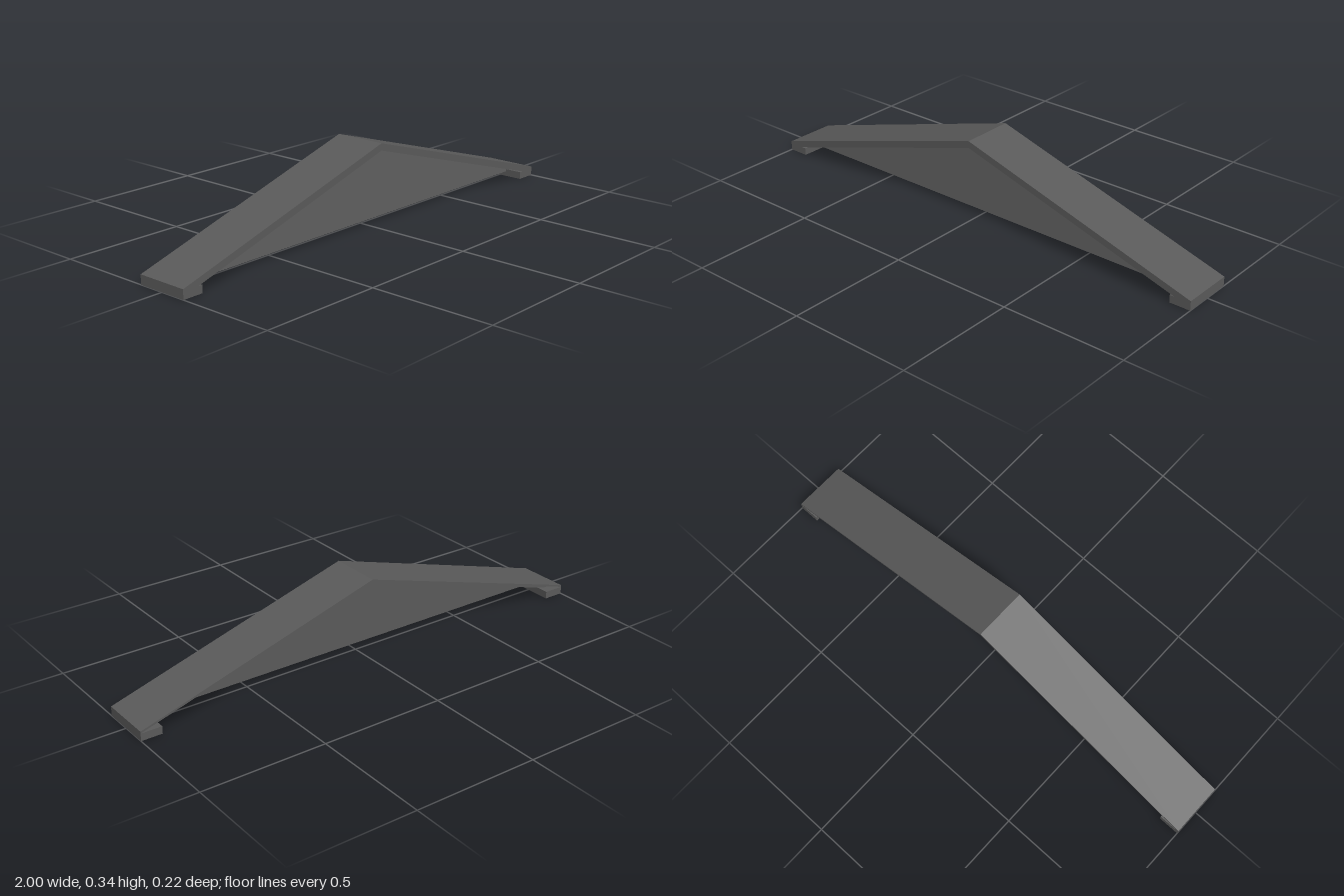
import * as THREE from 'three';

const SLOPE = 0.3;          // roof rise per unit of x
const DEPTH = 0.108;        // half depth of the roof
const RIDGE = 0.338;        // outer ridge height
const SOFFIT = 0.31;        // inner ridge height

// Inverted V band between two ridge heights, extruded from z0 to z1
function gableBand(topRidge, bottomRidge, z0, z1, material, name) {
  const s = new THREE.Shape();
  s.moveTo(-1, topRidge - SLOPE);
  s.lineTo(-1, bottomRidge - SLOPE);
  s.lineTo(0, bottomRidge);
  s.lineTo(1, bottomRidge - SLOPE);
  s.lineTo(1, topRidge - SLOPE);
  s.lineTo(0, topRidge);
  const g = new THREE.ExtrudeGeometry(s, { depth: z1 - z0, bevelEnabled: false });
  g.translate(0, 0, z0);
  const mesh = new THREE.Mesh(g, material);
  mesh.name = name;
  return mesh;
}

// Wedge-shaped siding board cut to the roof slope, thicker at its lower edge
function sidingBoard(y0, y1, back, frontLow, frontHigh) {
  const g = new THREE.BoxGeometry(2, 1, 1);
  const p = g.attributes.position;
  for (let i = 0; i < p.count; i++) {
    const top = p.getY(i) > 0;
    const y = top ? y1 : y0;
    const half = Math.max(0.001, (SOFFIT - y) / SLOPE);
    const z = p.getZ(i) > 0 ? (top ? frontHigh : frontLow) : back;
    p.setXYZ(i, Math.sign(p.getX(i)) * half, y, z);
  }
  g.computeVertexNormals();
  return g;
}

export function createModel() {
  const group = new THREE.Group();
  group.name = 'gable';
  const grey = new THREE.MeshStandardMaterial({ color: 0x5a5a5a });
  grey.name = 'dark grey';

  // Thin roof covering, and the rafter below it, set in at the back
  group.add(gableBand(RIDGE, RIDGE - 0.008, -DEPTH, DEPTH, grey, 'roofCovering'));
  group.add(gableBand(RIDGE - 0.008, SOFFIT, -0.07, DEPTH, grey, 'rafter'));

  // Eave blocks at both ends
  for (const side of [-1, 1]) {
    const foot = new THREE.Mesh(new THREE.BoxGeometry(0.085, 0.03, DEPTH * 2), grey);
    foot.position.set(side * 0.9575, 0.015, 0);
    foot.name = side > 0 ? 'leftEaveBlock' : 'rightEaveBlock';
    group.add(foot);
  }

  // Flat wall panel behind the siding
  const base = 0.021;
  const half = (SOFFIT - base) / SLOPE;
  const tri = new THREE.Shape();
  tri.moveTo(-half, base);
  tri.lineTo(half, base);
  tri.lineTo(0, SOFFIT);
  const panel = new THREE.ExtrudeGeometry(tri, { depth: 0.014, bevelEnabled: false });
  panel.translate(0, 0, 0.01);
  const wall = new THREE.Mesh(panel, grey);
  wall.name = 'gableWall';
  group.add(wall);

  // Overlapping rows of siding
  const siding = new THREE.Group();
  siding.name = 'siding';
  const rows = 8;
  const step = (SOFFIT - base) / rows;
  for (let i = 0; i < rows; i++) {
    const y = base + i * step;
    const board = new THREE.Mesh(sidingBoard(y, y + step, 0.024, 0.036, 0.03), grey);
    board.name = 'sidingBoard';
    siding.add(board);
  }
  group.add(siding);

  return group;
}
